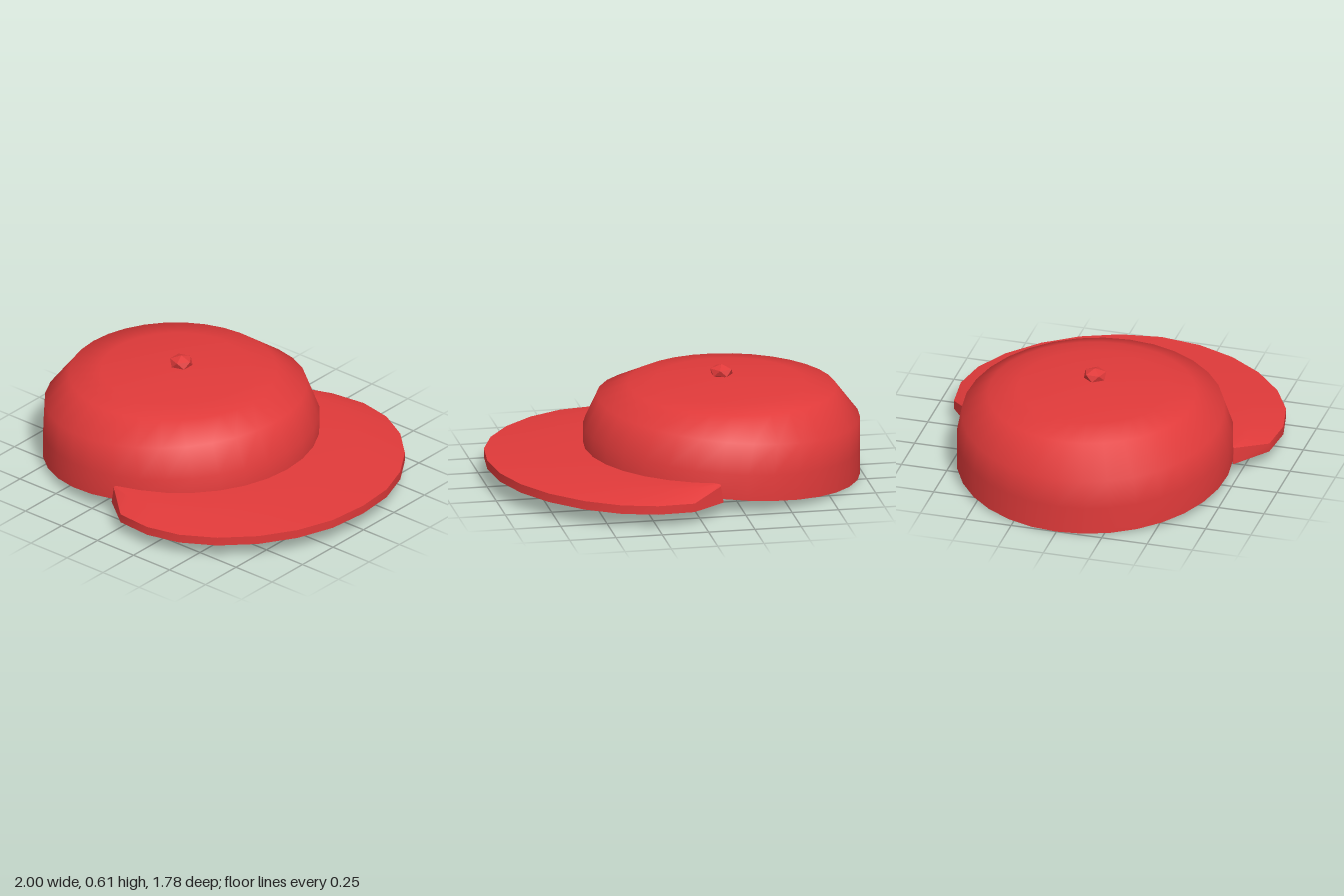
import * as THREE from 'three';
import { mergeVertices } from 'three/addons/utils/BufferGeometryUtils.js';

// Smooth skin over rows of points; faces point along (next column) x (next row)
function skin(rows) {
  const n = rows[0].length, index = [];
  for (let i = 0; i < rows.length - 1; i++) {
    for (let j = 0; j < n - 1; j++) {
      const a = i * n + j, b = a + 1, c = a + n, d = c + 1;
      index.push(a, b, d, a, d, c);
    }
  }
  let g = new THREE.BufferGeometry();
  g.setAttribute('position', new THREE.Float32BufferAttribute(rows.flat(2), 3));
  g.setIndex(index);
  g = mergeVertices(g, 1e-5);
  g.computeVertexNormals();
  return g;
}

// Slightly tilted ring: left and right ends given as x, y
function ring([x0, y0, x1, y1], inset = 0, drop = 0) {
  const cx = (x0 + x1) / 2, cy = (y0 + y1) / 2 - drop;
  const r = Math.max((x1 - x0) / 2 - inset, 0), tilt = (y1 - y0) / 2;
  return Array.from({ length: 33 }, (_, j) => {
    const t = ((j % 32) / 32) * Math.PI * 2;
    return [cx + r * Math.cos(t), cy + tilt * Math.cos(t), -r * Math.sin(t)];
  });
}

function material(name, color) {
  const m = new THREE.MeshStandardMaterial({ color });
  m.name = name;
  return m;
}

export function createModel() {
  const model = new THREE.Group();
  model.name = 'cap';
  const red = material('red cloth', 0xe03a3a);
  const darkRed = material('dark red underside', 0x7f1d1d);
  const add = (parent, name, geometry, cloth = red) => {
    const mesh = new THREE.Mesh(geometry, cloth);
    mesh.name = name;
    parent.add(mesh);
    return mesh;
  };

  // Crown: tilted rings from the rim to the apex, with an inner lining
  const crown = new THREE.Group();
  crown.name = 'crown';
  model.add(crown);
  const profile = [
    [-1, 0, 0.47, 0.15],
    [-1, 0.15, 0.47, 0.28],
    [-1, 0.31, 0.395, 0.44],
    [-0.875, 0.475, 0.23, 0.5],
    [-0.7, 0.51, 0.1, 0.511],
    [-0.268, 0.545, -0.268, 0.545],
  ];
  const outside = profile.map((p) => ring(p));
  const inside = profile.map((p, i) => ring(p, 0.055, i > 1 ? 0.05 : 0));
  add(crown, 'crownShell', skin(outside));
  add(crown, 'crownLining', skin([...inside].reverse()));
  add(crown, 'crownRim', skin([inside[0], outside[0]]));

  // Brim: half outline from the tip to the middle, mirrored in z
  const brim = new THREE.Group();
  brim.name = 'brim';
  model.add(brim);
  const outline = [
    [-0.135, 0.725], [0.05, 0.87], [0.25, 0.89], [0.44, 0.85], [0.62, 0.75],
    [0.78, 0.6], [0.9, 0.42], [0.975, 0.22], [1, 0],
  ];
  const last = outline.length - 1;
  const edge = (place) => {
    const half = outline.map(([x, z], i) => place(x, z, i / last));
    const mirrored = half.slice(0, last).reverse().map(([x, y, z]) => [x, y, -z]);
    return [...half, ...mirrored];
  };
  const inner = (t, y) => {
    const a = THREE.MathUtils.degToRad(78 * (1 - t));
    return [-0.265 + 0.715 * Math.cos(a), y, 0.715 * Math.sin(a)];
  };
  const lowY = (t) => 0.07 + 0.03 * t;
  const outerLow = edge((x, z, t) => [x, lowY(t), z]);
  // The top rolls up to full height at both tips
  const outerTop = edge((x, z, t) => (t ? [x, lowY(t) + 0.047, z] : [x + 0.015, 0.16, z]));
  const innerTop = edge((x, z, t) => inner(t, 0.177));
  const middleTop = edge((x, z, t) => {
    const [ix, , iz] = inner(t, 0);
    return [(x + ix) / 2, 0.172 - 0.006 * t, (z + iz) / 2];
  });
  const innerLow = edge((x, z, t) => inner(t, 0.12 + 0.03 * t));
  add(brim, 'brimTop', skin([outerTop, middleTop, innerTop]));
  add(brim, 'brimUnderside', skin([innerLow, outerLow]), darkRed);
  add(brim, 'brimEdge', skin([outerLow, outerTop]));
  add(brim, 'brimInnerEdge', skin([innerTop, innerLow]));
  const end = outerLow.length - 1;
  add(brim, 'brimLeftTip', skin([[innerLow[0], outerLow[0]], [innerTop[0], outerTop[0]]]));
  add(brim, 'brimRightTip', skin([[outerLow[end], innerLow[end]], [outerTop[end], innerTop[end]]]));

  // Faceted button on the apex
  const gem = new THREE.IcosahedronGeometry(0.067, 0);
  gem.rotateX(-Math.atan((1 + Math.sqrt(5)) / 2));
  gem.rotateY(Math.PI / 2);
  gem.scale(1, 0.57, 1);
  gem.computeVertexNormals();
  add(model, 'button', gem).position.set(-0.265, 0.567, 0);

  return model;
}
